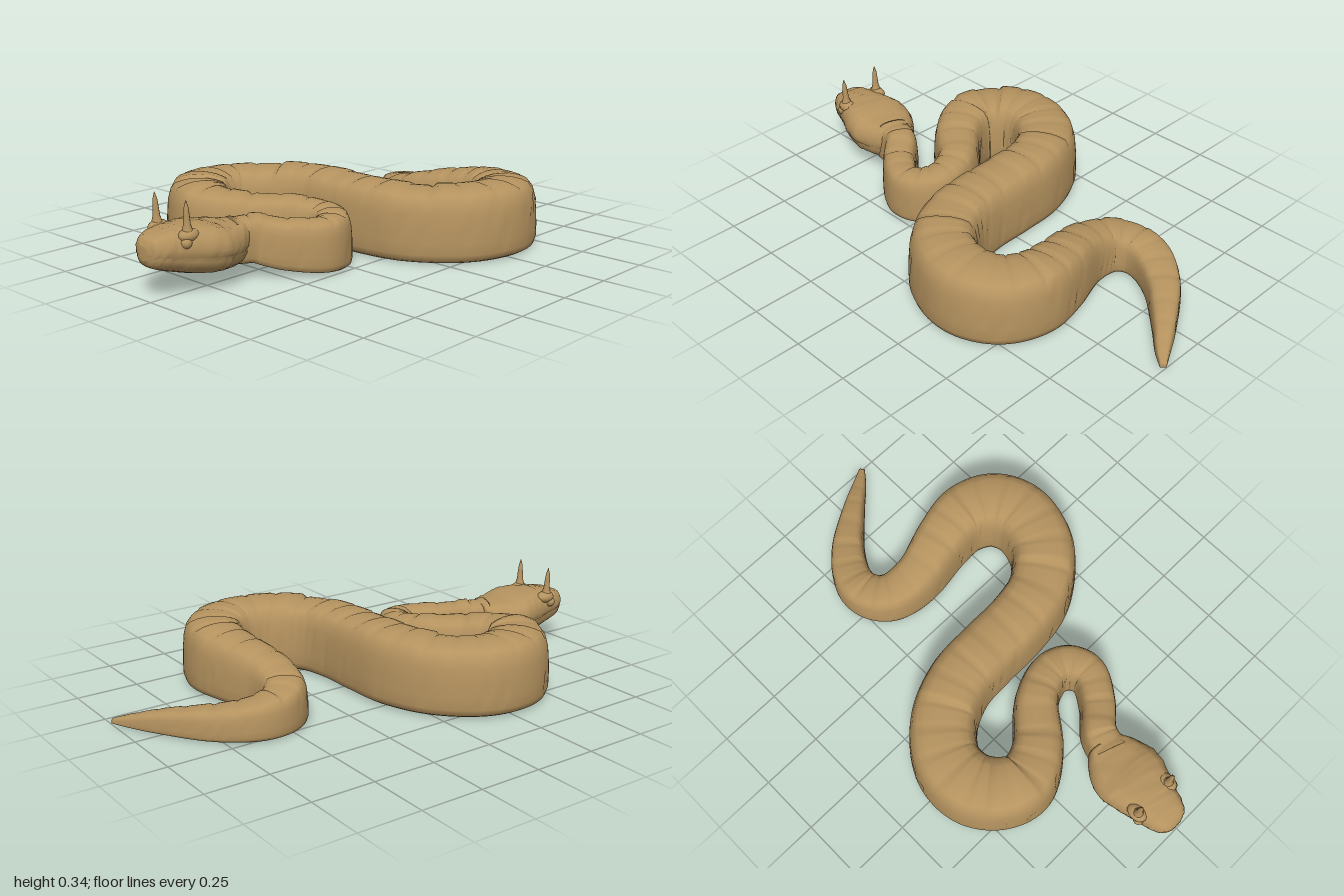
import * as THREE from 'three';

// cheap repeatable noise in 0..1
const hash = (n) => { const s = Math.sin(n * 127.1 + 3.7) * 43758.5453; return s - Math.floor(s); };

// Mirror a half section [sideways, height] running from bottom centre to top centre
const mirrored = (half) => [...half, ...half.slice(1, -1).reverse().map(([u, v]) => [-u, v])];

const BODY_SECTION = mirrored([[0, 0], [0.45, 0], [0.82, 0.005], [0.94, 0.04], [1, 0.13], [1, 0.3], [0.98, 0.5],
  [0.94, 0.7], [0.86, 0.84], [0.72, 0.93], [0.5, 0.97], [0.25, 0.995], [0, 1]]);
const HEAD_SECTION = mirrored([[0, 0], [0.3, 0.01], [0.58, 0.06], [0.8, 0.17], [0.92, 0.32], [0.89, 0.38], [0.97, 0.43],
  [1, 0.56], [0.97, 0.7], [0.88, 0.84], [0.7, 0.94], [0.4, 0.97], [0, 0.98]]);

// Sweep a section through stations [x, z, halfWidth, bottom, top]
function loft(stations, section, steps, detail) {
  const path = new THREE.CatmullRomCurve3(stations.map(([x, z]) => new THREE.Vector3(x, 0, z)), false, 'catmullrom', 0.5);
  const size = new THREE.CatmullRomCurve3(stations.map(([, , w, b, t]) => new THREE.Vector3(w, b, t)), false, 'catmullrom', 0.5);
  const rings = (stations.length - 1) * steps;
  const n = section.length;
  const pos = [];
  const index = [];
  for (let i = 0; i <= rings; i++) {
    const p = path.getPoint(i / rings);
    const d = path.getTangent(i / rings);
    const s = size.getPoint(i / rings);
    section.forEach(([u, v], j) => {
      const [du, dy] = detail(i, j, u, v, s);
      const w = u * s.x + du;
      pos.push(p.x + d.z * w, s.y + v * (s.z - s.y) + dy, p.z - d.x * w);
    });
  }
  for (let i = 0; i < rings; i++) {
    for (let j = 0; j < n; j++) {
      const a = i * n + j, b = i * n + (j + 1) % n;
      index.push(a, b, a + n, b, b + n, a + n);
    }
  }
  // end caps
  for (let j = 1; j < n - 1; j++) {
    const e = rings * n;
    index.push(0, j + 1, j, e, e + j, e + j + 1);
  }
  const g = new THREE.BufferGeometry();
  g.setAttribute('position', new THREE.Float32BufferAttribute(pos, 3));
  g.setIndex(index);
  g.computeVertexNormals();
  return g;
}

// Raised back plates with cracks, small side pits and a ribbed belly
function bodyDetail(i, j, u, v, s) {
  const scale = Math.min(1, s.x / 0.1);
  const plate = Math.floor(i / 6);
  let du = 0, dy = 0;
  if (v > 0.9) dy = scale * (0.011 * hash(plate) - (i % 6 === 0 ? 0.009 : 0.002));
  else if (v < 0.003) dy = (i % 2) * 0.003 * scale;
  else if (v > 0.25 && v < 0.75 && hash(i * 31 + j) > 0.93) du = -Math.sign(u) * 0.005 * scale;
  return [du, dy];
}

// Slightly lumpy scales on the head
const headDetail = (i, j, u, v) => [Math.sign(u) * 0.004 * (hash(i * 17 + j) - 0.5), v > 0.8 ? 0.005 * (hash(i * 7 + j) - 0.5) : 0];

export function createModel() {
  const model = new THREE.Group();
  model.name = 'hornedSnake';
  const skin = new THREE.MeshStandardMaterial({ color: 0xb5935f });
  skin.name = 'sandySkin';

  const add = (geometry, name, parent = model) => {
    const m = new THREE.Mesh(geometry, skin);
    m.name = name;
    parent.add(m);
    return m;
  };

  // Winding body, from tail tip to neck
  add(loft([
    [0.19, -0.995, 0.012, 0.012, 0.03],
    [0.13, -0.945, 0.028, 0.008, 0.052],
    [0.03, -0.87, 0.045, 0.006, 0.085],
    [-0.11, -0.75, 0.067, 0.005, 0.118],
    [-0.19, -0.63, 0.08, 0.005, 0.142],
    [-0.195, -0.53, 0.083, 0.005, 0.16],
    [-0.13, -0.455, 0.087, 0.005, 0.178],
    [0, -0.438, 0.095, 0.005, 0.205],
    [0.17, -0.475, 0.11, 0.005, 0.24],
    [0.31, -0.485, 0.122, 0.005, 0.262],
    [0.425, -0.425, 0.13, 0.005, 0.27],
    [0.472, -0.3, 0.133, 0.005, 0.272],
    [0.425, -0.145, 0.132, 0.005, 0.272],
    [0.29, -0.035, 0.13, 0.005, 0.274],
    [0.13, 0, 0.127, 0.005, 0.276],
    [-0.05, 0.005, 0.126, 0.005, 0.278],
    [-0.21, 0.018, 0.127, 0.005, 0.278],
    [-0.36, 0.085, 0.131, 0.005, 0.274],
    [-0.46, 0.205, 0.133, 0.005, 0.272],
    [-0.47, 0.335, 0.133, 0.005, 0.27],
    [-0.405, 0.435, 0.129, 0.005, 0.27],
    [-0.3, 0.475, 0.12, 0.005, 0.265],
    [-0.175, 0.415, 0.102, 0.005, 0.25],
    [-0.05, 0.285, 0.088, 0.005, 0.235],
    [0.07, 0.237, 0.08, 0.006, 0.222],
    [0.155, 0.27, 0.075, 0.008, 0.21],
    [0.18, 0.355, 0.072, 0.014, 0.207],
    [0.115, 0.46, 0.07, 0.032, 0.212],
    [0.03, 0.545, 0.07, 0.06, 0.228],
    [0, 0.63, 0.075, 0.072, 0.225],
  ], BODY_SECTION, 10, bodyDetail), 'body');

  // Head with a jaw line
  const head = new THREE.Group();
  head.name = 'head';
  model.add(head);
  add(loft([
    [0.004, 0.59, 0.07, 0.075, 0.225],
    [-0.005, 0.64, 0.108, 0.062, 0.225],
    [-0.015, 0.71, 0.138, 0.06, 0.235],
    [-0.018, 0.77, 0.137, 0.062, 0.248],
    [-0.025, 0.84, 0.115, 0.074, 0.25],
    [-0.03, 0.9, 0.094, 0.09, 0.246],
    [-0.032, 0.95, 0.08, 0.105, 0.238],
    [-0.033, 0.985, 0.056, 0.122, 0.222],
    [-0.033, 1, 0.022, 0.145, 0.195],
  ], HEAD_SECTION, 5, headDetail), 'skull', head);

  // Horn profile, thin with a flared base
  const hornProfile = [[0.026, 0], [0.019, 0.02], [0.013, 0.04], [0.011, 0.07], [0.008, 0.1], [0.001, 0.125]]
    .map(([r, y]) => new THREE.Vector2(r, y));

  for (const side of [-1, 1]) {
    const x = -0.032 + side * 0.082;
    const horn = add(new THREE.LatheGeometry(hornProfile, 12), side > 0 ? 'leftHorn' : 'rightHorn', head);
    horn.position.set(x, 0.225, 0.87);
    horn.rotation.set(0.04, 0, -side * 0.02);

    const brow = add(new THREE.SphereGeometry(1, 16, 10), side > 0 ? 'leftBrow' : 'rightBrow', head);
    brow.scale.set(0.03, 0.024, 0.042);
    brow.position.set(x, 0.225, 0.865);

    const eye = add(new THREE.SphereGeometry(0.021, 16, 10), side > 0 ? 'leftEye' : 'rightEye', head);
    eye.position.set(x + side * 0.01, 0.203, 0.885);
  }
  return model;
}
